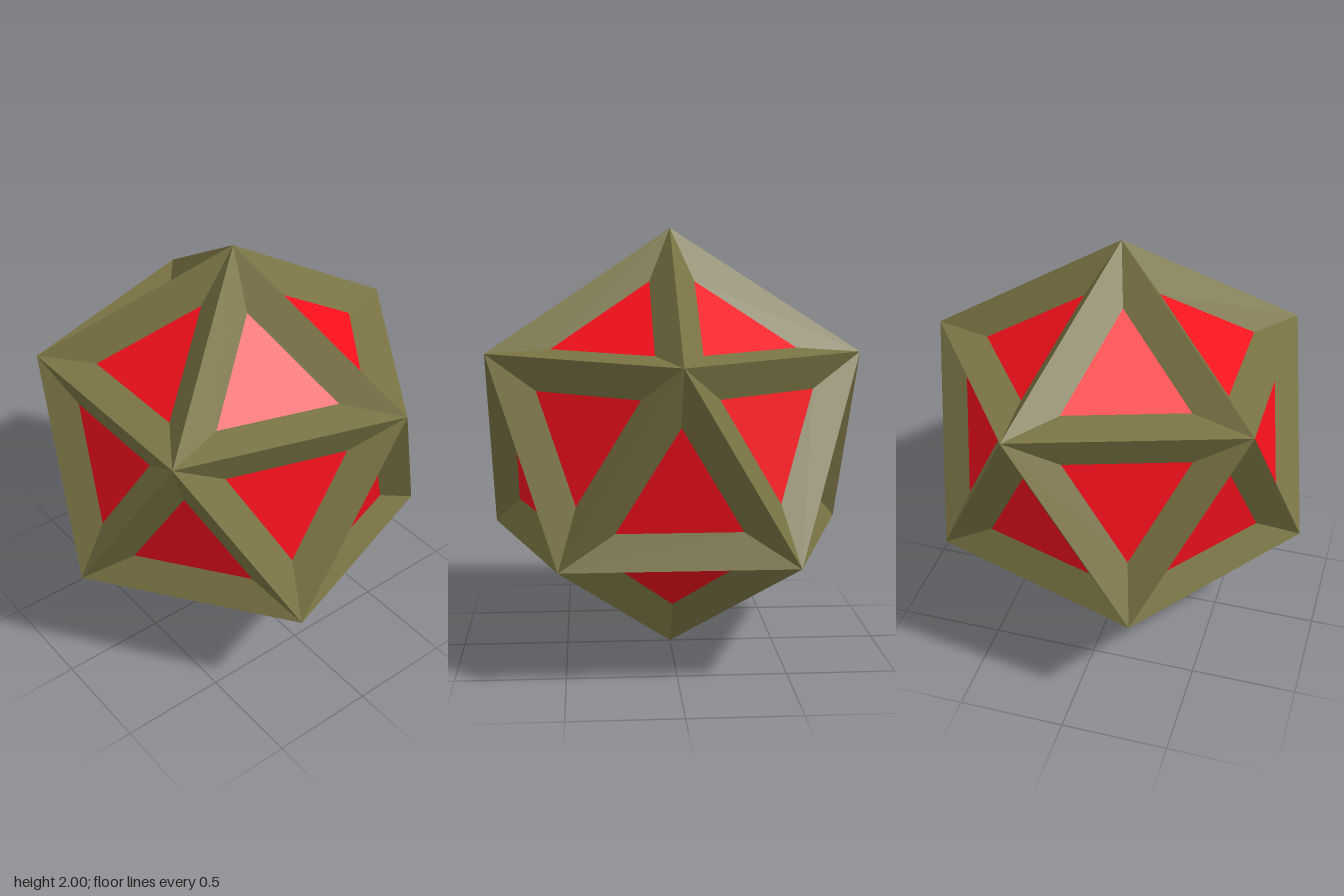
import * as THREE from 'three';

const INSET = 0.53;   // size of each sunken panel relative to its face
const DEPTH = 0.083;  // how far each panel sits below its face

// Corners of an icosahedron standing on one tip
function corner(y, degrees) {
  const a = THREE.MathUtils.degToRad(degrees), r = 2 / Math.sqrt(5);
  return new THREE.Vector3(r * Math.cos(a), y, r * Math.sin(a));
}

function icosahedronFaces() {
  const h = 1 / Math.sqrt(5), faces = [];
  const top = new THREE.Vector3(0, 1, 0), bottom = new THREE.Vector3(0, -1, 0);
  for (let k = 0; k < 5; k++) {
    const u0 = corner(h, 72 * k), u1 = corner(h, 72 * k + 72);
    const l0 = corner(-h, 72 * k + 36), l1 = corner(-h, 72 * k + 108);
    faces.push([top, u1, u0], [u0, u1, l0], [u1, l1, l0], [bottom, l0, l1]);
  }
  return faces;
}

function mesh(name, points, color) {
  const geometry = new THREE.BufferGeometry().setFromPoints(points);
  geometry.computeVertexNormals();
  const material = new THREE.MeshStandardMaterial({ flatShading: true });
  material.color.set(color);
  const m = new THREE.Mesh(geometry, material);
  m.name = name;
  return m;
}

export function createModel() {
  const model = new THREE.Group();
  model.name = 'framedIcosahedron';
  const frame = [], panels = [];

  for (const face of icosahedronFaces()) {
    const centre = new THREE.Vector3();
    face.forEach((p) => centre.addScaledVector(p, 1 / 3));
    const sink = centre.clone().normalize().multiplyScalar(-DEPTH);
    const inner = face.map((p) => centre.clone().lerp(p, INSET).add(sink));

    // Sunken triangle, and a sloping band from each edge down to it
    panels.push(...inner);
    for (let i = 0; i < 3; i++) {
      const j = (i + 1) % 3;
      frame.push(face[i], face[j], inner[j], face[i], inner[j], inner[i]);
    }
  }

  model.add(mesh('ridgedFrame', frame, 0x7a7444));
  model.add(mesh('sunkenPanels', panels, 0xf5101c));
  model.children.forEach((m) => { m.position.y = 1; });
  return model;
}
